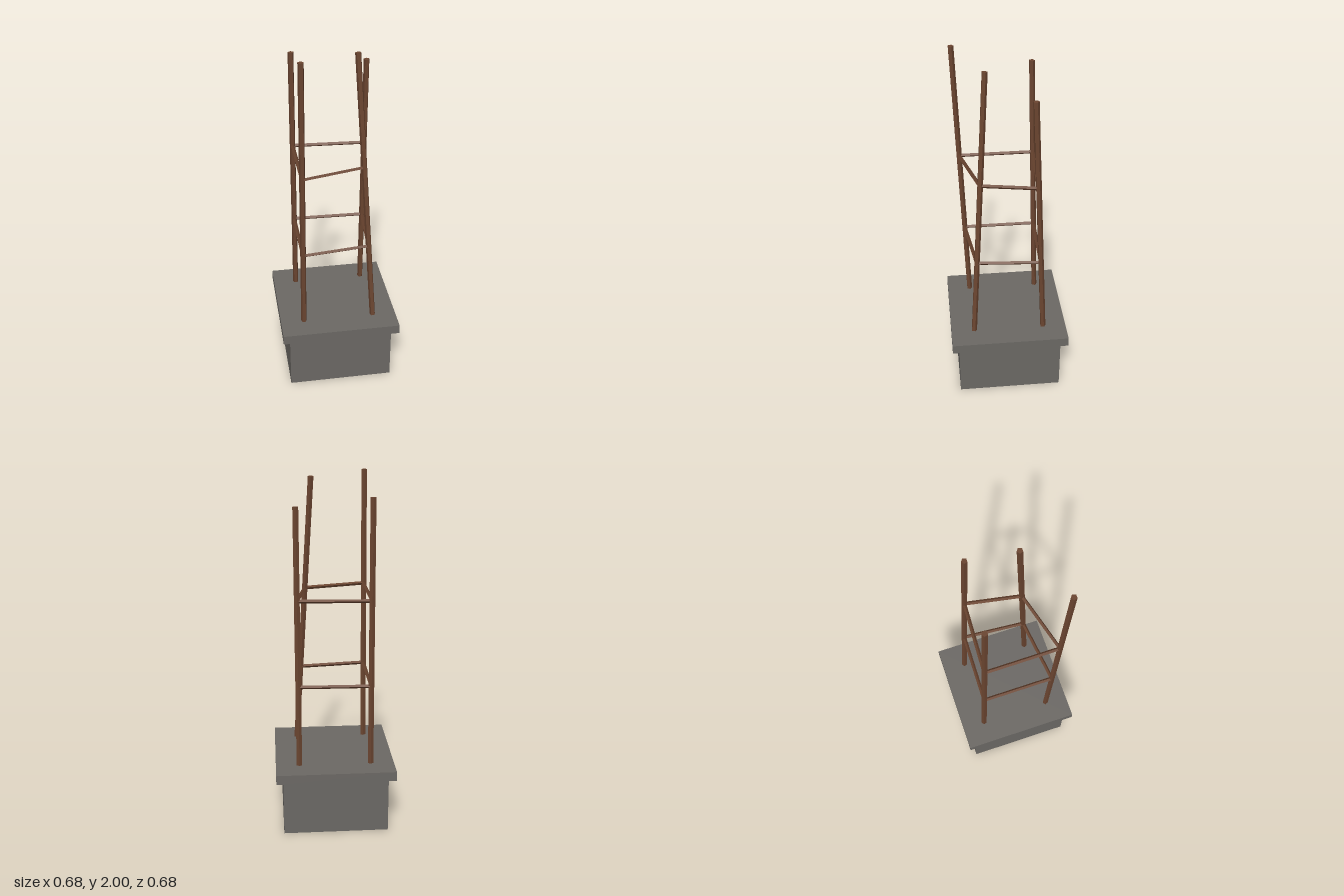
import * as THREE from 'three';

const concrete = new THREE.MeshStandardMaterial({ name: 'concrete', color: 0x6b6864, flatShading: true });
const rust = new THREE.MeshStandardMaterial({ name: 'rustySteel', color: 0x6b4530, flatShading: true });

function block(name, size, y0, y1) {
  const mesh = new THREE.Mesh(new THREE.BoxGeometry(size, y1 - y0, size), concrete);
  mesh.name = name;
  mesh.position.y = (y0 + y1) / 2;
  return mesh;
}

// Straight faceted bar between two points
function bar(name, from, to, radius, sides) {
  const dir = to.clone().sub(from);
  const geometry = new THREE.CylinderGeometry(radius, radius, dir.length(), sides);
  geometry.rotateY(Math.PI);
  const mesh = new THREE.Mesh(geometry, rust);
  mesh.name = name;
  mesh.position.copy(from).add(to).multiplyScalar(0.5);
  mesh.quaternion.setFromUnitVectors(new THREE.Vector3(0, 1, 0), dir.normalize());
  return mesh;
}

export function createModel() {
  const model = new THREE.Group();
  model.name = 'unfinishedPillar';

  // Concrete footing with an overhanging slab
  model.add(block('footing', 0.6, 0, 0.33), block('slab', 0.68, 0.33, 0.385));

  // Bent reinforcing bars, listed around the square
  const bars = [
    { name: 'backRightBar', foot: [-0.205, -0.205], top: [-0.204, 1.9, -0.166] },
    { name: 'backLeftBar', foot: [0.205, -0.205], top: [0.207, 1.85, -0.137] },
    { name: 'frontLeftBar', foot: [0.205, 0.205], top: [0.112, 1.98, 0.115] },
    { name: 'frontRightBar', foot: [-0.205, 0.205], top: [-0.202, 2, 0.27] },
  ].map(({ name, foot, top }) => ({
    name,
    from: new THREE.Vector3(foot[0], 0.38, foot[1]),
    to: new THREE.Vector3(...top),
  }));
  for (const b of bars) model.add(bar(b.name, b.from, b.to, 0.0166, 5));

  // Two rings of thin ties joining neighbouring bars
  const pointAt = (b, y) => b.from.clone().lerp(b.to, (y - b.from.y) / (b.to.y - b.from.y));
  [['lowerTie', 0.85], ['upperTie', 1.34]].forEach(([name, y]) => {
    bars.forEach((b, i) => {
      const next = bars[(i + 1) % bars.length];
      model.add(bar(name + (i + 1), pointAt(b, y), pointAt(next, y), 0.0105, 4));
    });
  });

  return model;
}
